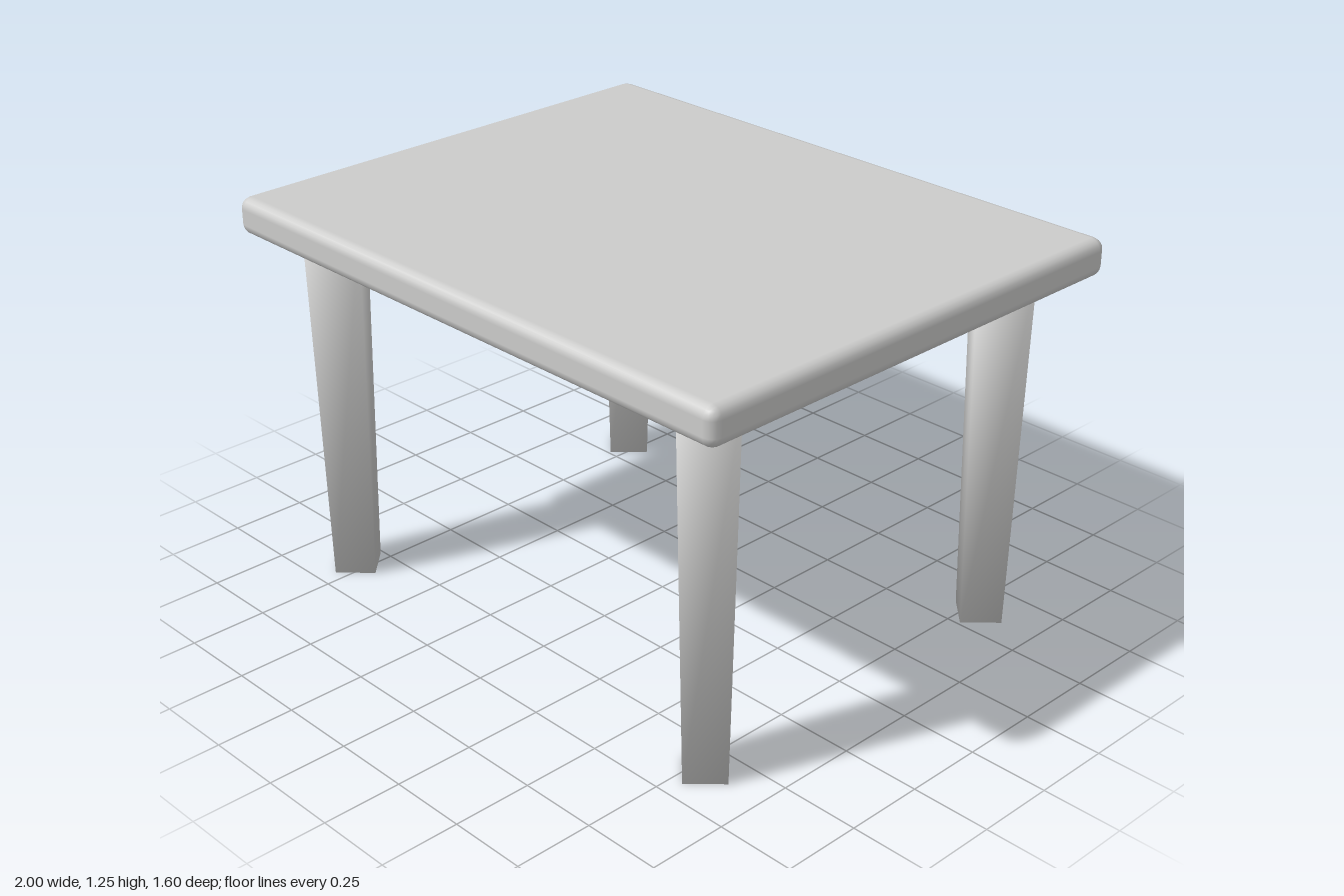
import * as THREE from 'three';
import { RoundedBoxGeometry } from 'three/addons/geometries/RoundedBoxGeometry.js';

const HEIGHT = 1.255;
const THICKNESS = 0.118;

// Four-sided tapered leg, corners on the axes, shaded softly over its edges
function legGeometry(topRadius, bottomRadius, height) {
  const geometry = new THREE.CylinderGeometry(topRadius, bottomRadius, height, 4);
  const { position, normal } = geometry.attributes;
  const n = new THREE.Vector3();
  for (let i = 0; i < position.count; i++) {
    n.fromBufferAttribute(position, i).setY(0).normalize();
    n.y = Math.sign(position.getY(i)) * 0.7;
    n.normalize();
    normal.setXYZ(i, n.x, n.y, n.z);
  }
  return geometry.translate(0, height / 2, 0);
}

export function createModel() {
  const table = new THREE.Group();
  table.name = 'table';
  const material = new THREE.MeshStandardMaterial({ color: 0xcccccb });
  material.name = 'light grey';

  // Slab with rounded edges
  const top = new THREE.Mesh(new RoundedBoxGeometry(2, THICKNESS, 1.6, 2, 0.035), material);
  top.name = 'tableTop';
  top.position.y = HEIGHT - THICKNESS / 2;
  table.add(top);

  // Four legs, running a little way into the slab
  const geometry = legGeometry(0.12, 0.09, 1.19);
  for (const [end, z] of [['front', 0.6], ['back', -0.6]]) {
    for (const [side, x] of [['Left', 0.79], ['Right', -0.79]]) {
      const leg = new THREE.Mesh(geometry, material);
      leg.name = `${end}${side}Leg`;
      leg.position.set(x, 0, z);
      table.add(leg);
    }
  }
  return table;
}
